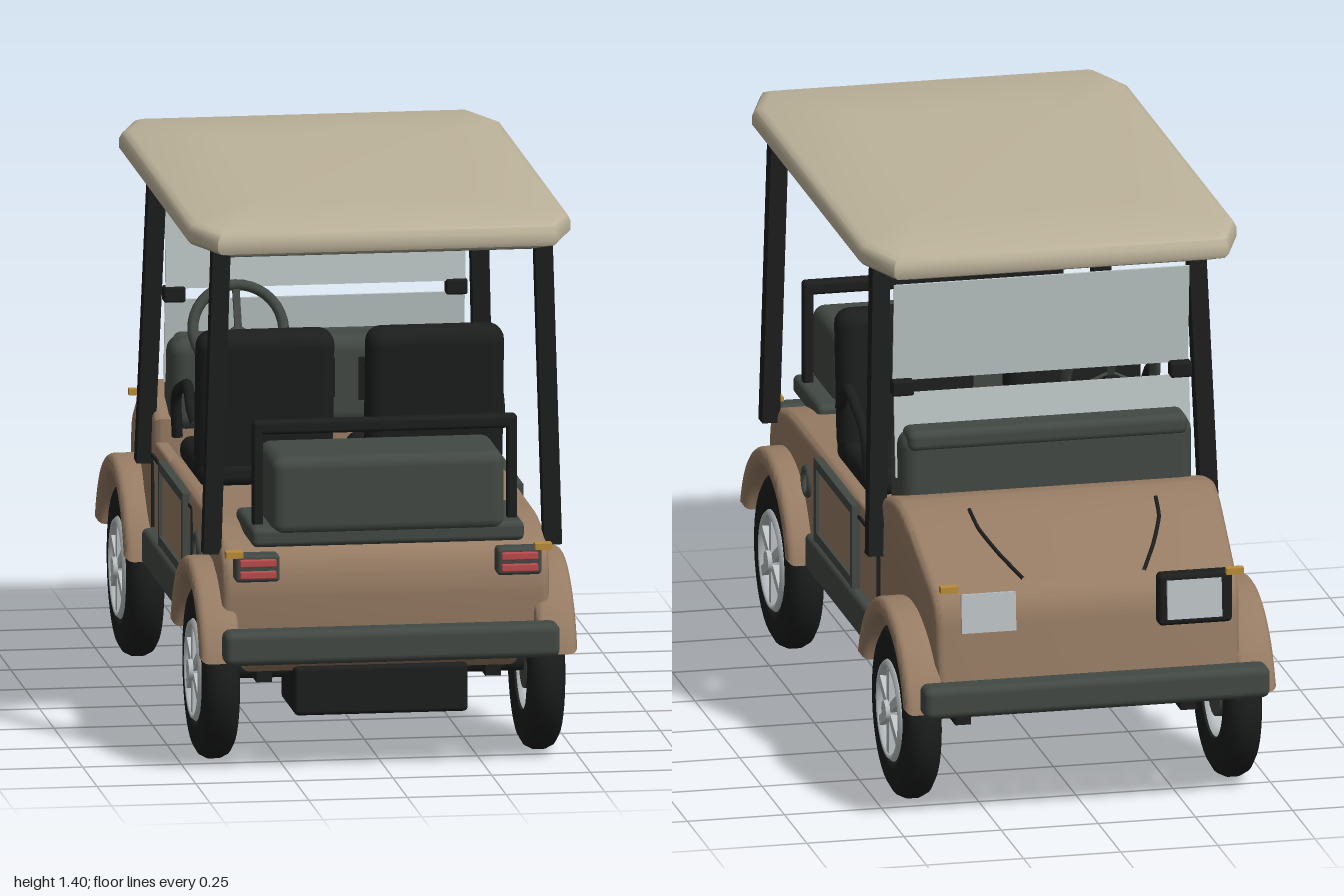
import * as THREE from 'three';
import { toCreasedNormals } from 'three/addons/utils/BufferGeometryUtils.js';
import { RoundedBoxGeometry } from 'three/addons/geometries/RoundedBoxGeometry.js';

const mat = (name, color, extra = {}) => new THREE.MeshStandardMaterial({ name, color, ...extra });
const V = (x, y, z) => new THREE.Vector3(x, y, z);

export function createModel() {
  const root = new THREE.Group();
  root.name = 'golfCart';
  const tan = mat('tan paint', 0x977c64), cream = mat('cream roof', 0xbeb49c);
  const grey = mat('dark grey trim', 0x424843), black = mat('black', 0x1c1d1d);
  const silver = mat('silver', 0xbcc2c4, { side: THREE.DoubleSide });
  const glass = mat('pale glass', 0xbcc6c5, { side: THREE.DoubleSide });
  const red = mat('red lens', 0xb84a4c), amber = mat('amber lens', 0xba8c38);

  const add = (name, geo, m, parent = root) => {
    const mesh = new THREE.Mesh(geo, m);
    mesh.name = name;
    parent.add(mesh);
    return mesh;
  };
  // box given by its min and max on each axis, rounded when r > 0
  const box = (name, m, [x0, x1], [y0, y1], [z0, z1], r = 0, parent = root) => {
    const s = [x1 - x0, y1 - y0, z1 - z0];
    const g = r ? new RoundedBoxGeometry(...s, 3, r) : new THREE.BoxGeometry(...s);
    const mesh = add(name, g, m, parent);
    mesh.position.set((x0 + x1) / 2, (y0 + y1) / 2, (z0 + z1) / 2);
    return mesh;
  };
  // straight bar between two points
  const bar = (name, m, a, b, w, d = w, round = false) => {
    const len = a.distanceTo(b);
    const mesh = add(name, round ? new THREE.CylinderGeometry(w, w, len, 14) : new THREE.BoxGeometry(w, len, d), m);
    mesh.position.copy(a).lerp(b, 0.5);
    mesh.quaternion.setFromUnitVectors(V(0, 1, 0), b.clone().sub(a).normalize());
    return mesh;
  };
  const tube = (name, m, pts, r, tension = 0.3) => add(name,
    new THREE.TubeGeometry(new THREE.CatmullRomCurve3(pts, false, 'catmullrom', tension), 32, r, 8), m);
  // side profile in (z, y), extruded across x from x0 to x1
  const slab = (shape, x0, x1, bevel) => {
    const g = new THREE.ExtrudeGeometry(shape, {
      depth: x1 - x0 - 2 * bevel, bevelSize: bevel, bevelThickness: bevel,
      bevelOffset: -bevel, bevelSegments: 4, curveSegments: 24 });
    g.rotateY(-Math.PI / 2);
    g.translate(x1 - bevel, 0, 0);
    return toCreasedNormals(g, 0.6);
  };

  // Body with wheel arches and a foot well
  const wheelY = 0.225, rearZ = 0.665, frontZ = -0.65;
  const body = new THREE.Shape();
  body.moveTo(-0.41, 0.228);
  body.lineTo(0.43, 0.228);
  body.absarc(rearZ, wheelY, 0.235, Math.PI, 0.5, true);
  body.lineTo(0.885, 0.45);
  body.quadraticCurveTo(0.885, 0.56, 0.82, 0.575);
  body.quadraticCurveTo(0.72, 0.61, 0.6, 0.61);
  body.lineTo(-0.1, 0.612);
  body.lineTo(-0.13, 0.33);
  body.lineTo(-0.3, 0.33);
  body.lineTo(-0.31, 0.67);
  body.quadraticCurveTo(-0.4, 0.72, -0.51, 0.73);
  body.quadraticCurveTo(-0.57, 0.725, -0.64, 0.69);
  body.lineTo(-0.83, 0.595);
  body.quadraticCurveTo(-0.88, 0.57, -0.885, 0.5);
  body.lineTo(-0.895, 0.36);
  body.absarc(frontZ, wheelY, 0.235, Math.PI - 0.5, 0, true);
  const bodyGeo = slab(body, -0.415, 0.415, 0.022);
  const p = bodyGeo.attributes.position;
  for (let i = 0; i < p.count; i++) { // taper towards the nose and the sill
    const nose = THREE.MathUtils.clamp((-p.getZ(i) - 0.5) / 0.4, 0, 1);
    const sill = THREE.MathUtils.clamp((0.4 - p.getY(i)) / 0.18, 0, 1);
    p.setX(i, p.getX(i) * (1 - 0.06 * nose - 0.07 * sill * sill));
  }
  add('body', bodyGeo, tan);
  const tub = new THREE.Shape([[-0.78, 0.235], [0.76, 0.235], [0.85, 0.29], [0.87, 0.45], [0.3, 0.45],
    [-0.1, 0.32], [-0.32, 0.32], [-0.4, 0.5], [-0.87, 0.5], [-0.88, 0.31]].map(([z, y]) => new THREE.Vector2(z, y)));
  add('lowerTub', slab(tub, -0.35, 0.35, 0.02), tan);

  // Fender flare: a rounded band over a wheel
  const flare = (cz) => {
    const s = new THREE.Shape();
    s.absarc(cz, wheelY, 0.288, 0.24, Math.PI - 0.24, false);
    s.absarc(cz, wheelY, 0.238, Math.PI - 0.28, 0.28, true);
    s.closePath();
    return s;
  };

  // Wheel pieces, axis along x with the outer face at +x
  const tyreGeo = new THREE.LatheGeometry([[0.125, -0.04], [0.15, -0.046], [0.195, -0.045], [0.214, -0.034], [0.224, -0.014],
    [0.224, 0.014], [0.214, 0.034], [0.195, 0.045], [0.15, 0.046], [0.125, 0.04], [0.125, -0.04]]
    .map(([r, x]) => new THREE.Vector2(r, x)), 40).rotateZ(-Math.PI / 2);
  const rimGeo = new THREE.LatheGeometry([[0.122, -0.035], [0.108, -0.02], [0.108, 0.03], [0.112, 0.05], [0.122, 0.052], [0.13, 0.042]]
    .map(([r, x]) => new THREE.Vector2(r, x)), 40).rotateZ(-Math.PI / 2);
  const wheel = (side, z, name) => {
    const g = new THREE.Group();
    g.name = name;
    g.position.set(side * 0.412, wheelY, z);
    if (side < 0) g.rotation.y = Math.PI;
    root.add(g);
    add('tyre', tyreGeo, black, g);
    add('rim', rimGeo, silver, g);
    add('hub', new THREE.CylinderGeometry(0.026, 0.034, 0.04, 18).rotateZ(-Math.PI / 2), silver, g).position.x = 0.04;
    add('brakeDrum', new THREE.CylinderGeometry(0.07, 0.07, 0.03, 20).rotateZ(Math.PI / 2), grey, g).position.x = -0.02;
    for (let i = 0; i < 6; i++) {
      const spoke = add('spoke', new THREE.BoxGeometry(0.018, 0.09, 0.024).translate(0.04, 0.065, 0), silver, g);
      spoke.rotation.x = i * Math.PI / 3;
    }
  };

  for (const s of [-1, 1]) {
    // span of x measured outwards on this side
    const X = (a, b) => (s > 0 ? [a, b] : [-b, -a]);
    for (const z of [rearZ, frontZ]) {
      add('fender', slab(flare(z), ...X(0.375, 0.478), 0.02), tan);
      wheel(s, z, z > 0 ? 'rearWheel' : 'frontWheel');
    }
    // Side panels, frames and sill
    box('footWellSide', tan, X(0.375, 0.412), [0.3, 0.61], [-0.33, -0.08], 0.01);
    box('sill', grey, X(0.38, 0.44), [0.29, 0.385], [-0.36, 0.375], 0.015);
    box('doorPanel', tan, X(0.41, 0.424), [0.39, 0.585], [-0.11, 0.29]);
    for (const z of [-0.115, 0.29]) box('doorFrameUpright', grey, X(0.405, 0.432), [0.385, 0.6], [z - 0.012, z + 0.012]);
    for (const y of [0.4, 0.59]) box('doorFrameRail', grey, X(0.405, 0.432), [y - 0.012, y + 0.012], [-0.12, 0.3]);
    for (const z of [-0.34, 0.35]) box('panelGap', black, X(0.41, 0.418), [0.39, 0.575], [z - 0.005, z + 0.005]);
    for (const z of [[-0.34, -0.12], [0.3, 0.35]]) box('panelGap', black, X(0.41, 0.418), [0.57, 0.578], z);
    const port = add('chargePort', new THREE.TorusGeometry(0.034, 0.009, 8, 24), grey);
    port.position.set(s * 0.415, 0.495, 0.45);
    port.rotation.y = Math.PI / 2;

    // Roof posts
    bar('rearPost', black, V(s * 0.432, 0.55, 0.8), V(s * 0.408, 1.33, 0.8), 0.045);
    bar('frontPost', black, V(s * 0.43, 0.55, -0.378), V(s * 0.405, 1.33, -0.318), 0.045);
    box('windshieldClip', black, X(0.33, 0.385), [0.96, 1.0], [-0.38, -0.34], 0.006);

    // Seats and armrests
    box('seatCushion', black, X(0.035, 0.385), [0.605, 0.675], [-0.09, 0.27], 0.03);
    const back = box('seatBack', black, X(0.04, 0.39), [0.63, 1.005], [0.185, 0.28], 0.04);
    back.rotation.x = 0.09;
    tube('armrest', black, [V(s * 0.385, 0.76, 0.21), V(s * 0.39, 0.79, 0.165), V(s * 0.39, 0.84, 0.1),
      V(s * 0.39, 0.79, -0.07), V(s * 0.39, 0.75, -0.1), V(s * 0.385, 0.665, -0.11)], 0.014);

    // Tail lamps and markers
    box('tailLampHousing', grey, X(0.275, 0.388), [0.495, 0.565], [0.87, 0.925], 0.01);
    for (const y of [0.515, 0.545]) box('tailLampLens', red, X(0.285, 0.378), [y - 0.01, y + 0.01], [0.92, 0.935], 0.004);
    box('rearMarker', amber, X(0.37, 0.413), [0.56, 0.576], [0.905, 0.935]);
    box('frontMarker', amber, X(0.345, 0.39), [0.61, 0.626], [-0.937, -0.915]);
    // Headlamp lens
    const lens = box('headlampLens', silver, X(0.195, 0.335), [0.5, 0.6], [-0.928, -0.919]);
    lens.rotation.x = 0.08;
    // Hood crease lines
    tube('hoodLine', black, [V(s * 0.24, 0.722, -0.6), V(s * 0.232, 0.692, -0.67), V(s * 0.2, 0.65, -0.75), V(s * 0.155, 0.604, -0.835)], 0.005);
    // Chassis rails
    box('chassisRail', black, X(0.27, 0.31), [0.205, 0.24], [-0.75, 0.75]);
  }
  box('headlampHousing', black, [-0.365, -0.175], [0.48, 0.615], [-0.918, -0.875], 0.012);

  // Bumpers, axles and drive unit
  box('rearBumper', grey, [-0.425, 0.425], [0.295, 0.382], [0.925, 1.0], 0.02);
  box('frontBumper', grey, [-0.445, 0.445], [0.298, 0.38], [-1.0, -0.925], 0.02);
  for (const z of [rearZ, frontZ]) {
    bar('axle', black, V(-0.4, wheelY, z), V(0.4, wheelY, z), 0.025, 0.025, true);
    const e = Math.sign(z);
    for (const x of [-0.25, 0.25]) bar('bumperBracket', black, V(x, 0.335, e * 0.85), V(x, 0.335, e * 0.95), 0.04);
  }
  box('crossMember', black, [-0.3, 0.3], [0.205, 0.24], [-0.45, -0.41]);
  box('driveUnit', black, [-0.22, 0.22], [0.125, 0.25], [0.56, 0.8], 0.012);

  // Roof lofted from chamfered outlines
  const outline = [[0.43, 0.75], [0.485, 0.6], [0.485, -0.6], [0.43, -0.75],
    [-0.43, -0.75], [-0.485, -0.6], [-0.485, 0.6], [-0.43, 0.75]];
  const layers = [[1.322, 0, 0], [1.322, 0.88, 0.96], [1.332, 0.98, 0.995], [1.342, 1, 1], [1.365, 1, 1],
    [1.38, 0.985, 0.99], [1.388, 0.95, 0.965], [1.398, 0.55, 0.6], [1.402, 0, 0]];
  const pos = [], idx = [], n = outline.length;
  layers.forEach(([y, sx, sz], j) => outline.forEach(([x, z], i) => {
    pos.push(x * sx, y, z * sz + 0.16);
    const a = j * n + i, b = j * n + (i + 1) % n;
    if (j < layers.length - 1) idx.push(a, a + n, b, b, a + n, b + n);
  }));
  const roofGeo = new THREE.BufferGeometry();
  roofGeo.setAttribute('position', new THREE.Float32BufferAttribute(pos, 3));
  roofGeo.setIndex(idx.reverse());
  // outline runs clockwise from above, so check the winding once
  const q = (i) => V(pos[3 * i], pos[3 * i + 1], pos[3 * i + 2]);
  const k = 3 * n; // a vertical side band facing outwards at +x
  const tri = idx.findIndex((v, i) => i % 3 === 0 && [v, idx[i + 1], idx[i + 2]].every((w) => [k + 1, k + 2, k + n + 1, k + n + 2].includes(w)));
  const normal = q(idx[tri + 1]).sub(q(idx[tri])).cross(q(idx[tri + 2]).sub(q(idx[tri])));
  if (normal.x < 0) roofGeo.setIndex(idx.reverse());
  add('roof', toCreasedNormals(roofGeo, 0.7), cream);
  box('roofLining', grey, [-0.41, 0.41], [1.308, 1.326], [-0.47, 0.82]);
  box('windshieldTopRail', black, [-0.4, 0.4], [1.275, 1.3], [-0.345, -0.315]);

  // Two-piece windshield
  bar('upperWindshield', glass, V(0, 0.995, -0.35), V(0, 1.25, -0.368), 0.76, 0.006);
  bar('lowerWindshield', glass, V(0, 0.75, -0.385), V(0, 0.965, -0.362), 0.76, 0.006);

  // Dashboard
  box('dashboard', grey, [-0.375, 0.375], [0.64, 0.875], [-0.445, -0.285], 0.04);
  box('dashTop', grey, [-0.36, 0.36], [0.83, 0.885], [-0.45, -0.36], 0.02);
  box('gloveBox', black, [0.1, 0.31], [0.71, 0.82], [-0.288, -0.281]);
  box('dashGauge', black, [-0.06, 0.04], [0.72, 0.82], [-0.288, -0.281]);

  // Steering
  const ring = add('steeringWheel', new THREE.TorusGeometry(0.115, 0.014, 10, 36), grey);
  ring.position.set(-0.22, 0.92, -0.182);
  ring.rotation.x = -0.42;
  for (const a of [0, 2.1, 4.2]) {
    add('steeringSpoke', new THREE.BoxGeometry(0.018, 0.11, 0.01).translate(0, 0.055, 0).rotateZ(a), grey, ring);
  }
  bar('steeringColumn', black, V(-0.22, 0.915, -0.185), V(-0.22, 0.7, -0.295), 0.02, 0.02, true);

  // Rear cargo box with a rail
  box('cargoBase', grey, [-0.345, 0.345], [0.582, 0.632], [0.63, 0.92], 0.015);
  box('cargoBox', grey, [-0.295, 0.295], [0.61, 0.812], [0.67, 0.928], 0.03);
  for (const x of [-0.322, 0.322]) box('cargoRailUpright', black, [x - 0.013, x + 0.013], [0.61, 0.88], [0.832, 0.868], 0.008);
  box('cargoRail', black, [-0.335, 0.335], [0.86, 0.895], [0.832, 0.868], 0.01);

  return root;
}
